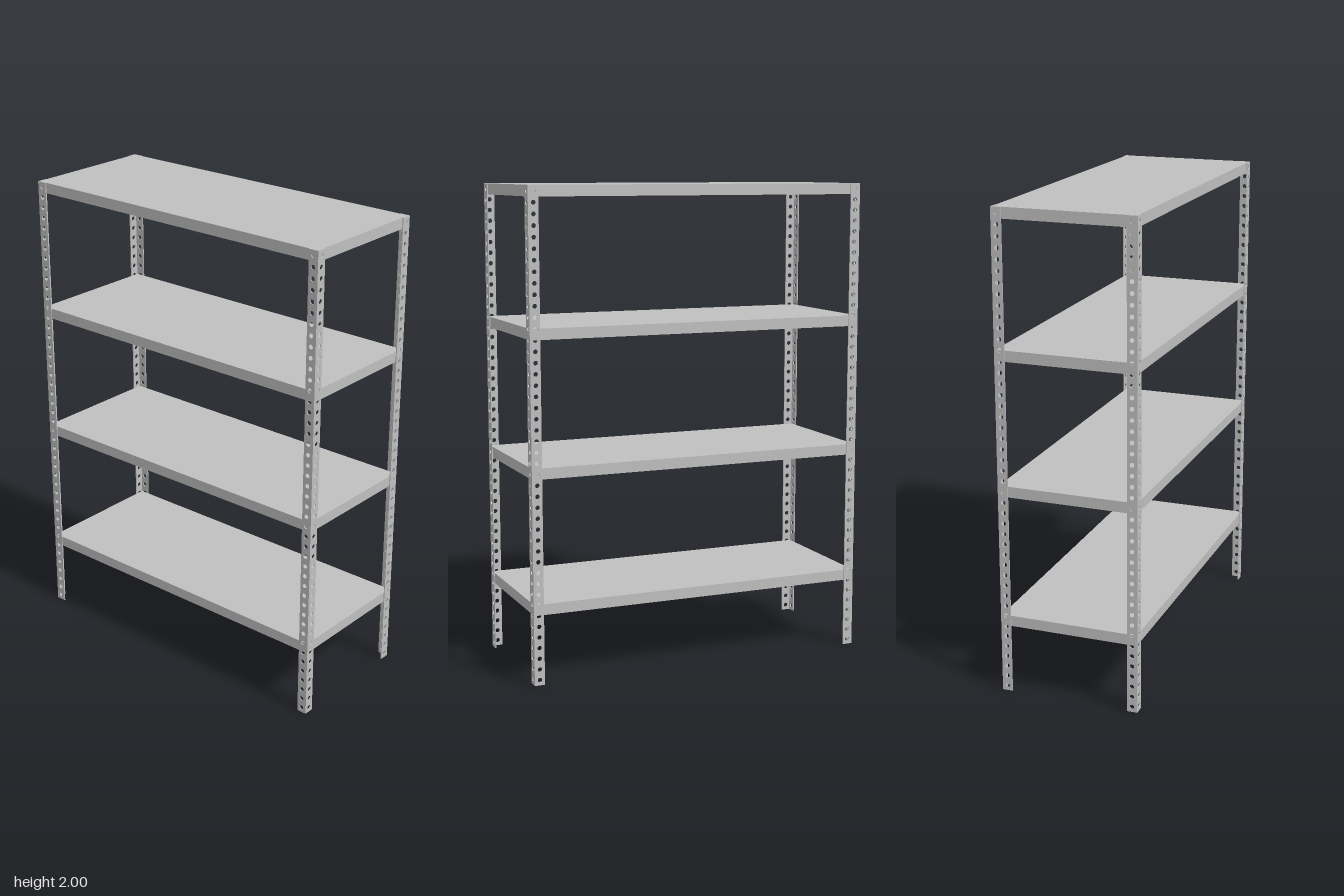
import * as THREE from 'three';

const HEIGHT = 2, HALF_X = 0.73, HALF_Z = 0.294;
const FLANGE = 0.043, THICK = 0.004;
const HOLES = 45, HOLE_R = 0.0095;

// Perforated steel strip, standing on y = 0, from x = start to x = FLANGE
function stripGeometry(start) {
  const shape = new THREE.Shape();
  shape.moveTo(start, 0);
  shape.lineTo(FLANGE, 0);
  shape.lineTo(FLANGE, HEIGHT);
  shape.lineTo(start, HEIGHT);
  shape.closePath();
  const pitch = HEIGHT / HOLES;
  for (let i = 0; i < HOLES; i++) {
    const hole = new THREE.Path();
    hole.absarc(FLANGE / 2 + 0.001, pitch * (i + 0.5), HOLE_R, 0, Math.PI * 2, true);
    shape.holes.push(hole);
  }
  return new THREE.ExtrudeGeometry(shape, { depth: THICK, bevelEnabled: false, curveSegments: 6 });
}

export function createModel() {
  const model = new THREE.Group();
  model.name = 'shelvingUnit';
  const steel = new THREE.MeshStandardMaterial({ color: 0xbfbfbf });
  steel.name = 'grey steel';

  // Flanges of an angle post whose outer corner is at the origin,
  // one running along +x and one along +z
  const wide = stripGeometry(0);
  const side = stripGeometry(THICK);
  side.rotateY(-Math.PI / 2).translate(THICK, 0, 0);

  // Four angle posts, turned so each wraps its corner
  const lShape = (name, x, z, sx, sz) => {
    const post = new THREE.Group();
    post.name = name;
    for (const [part, geometry] of [['wideFlange', wide], ['sideFlange', side]]) {
      const mesh = new THREE.Mesh(geometry, steel);
      mesh.name = part;
      post.add(mesh);
    }
    post.position.set(x, 0, z);
    post.scale.set(sx, 1, sz);
    model.add(post);
  };
  for (const sx of [-1, 1]) {
    for (const sz of [-1, 1]) {
      const name = (sz > 0 ? 'front' : 'back') + (sx > 0 ? 'Left' : 'Right') + 'Post';
      lShape(name, sx * HALF_X, sz * HALF_Z, -sx, -sz);
    }
  }

  // Four shelves set inside the posts
  const shelfHeight = 0.045;
  const shelf = new THREE.BoxGeometry(2 * (HALF_X - THICK), shelfHeight, 2 * (HALF_Z - THICK));
  for (let i = 0; i < 4; i++) {
    const mesh = new THREE.Mesh(shelf, steel);
    mesh.name = 'shelf' + (i + 1);
    mesh.position.y = HEIGHT - shelfHeight / 2 - 0.555 * (3 - i);
    model.add(mesh);
  }
  return model;
}
